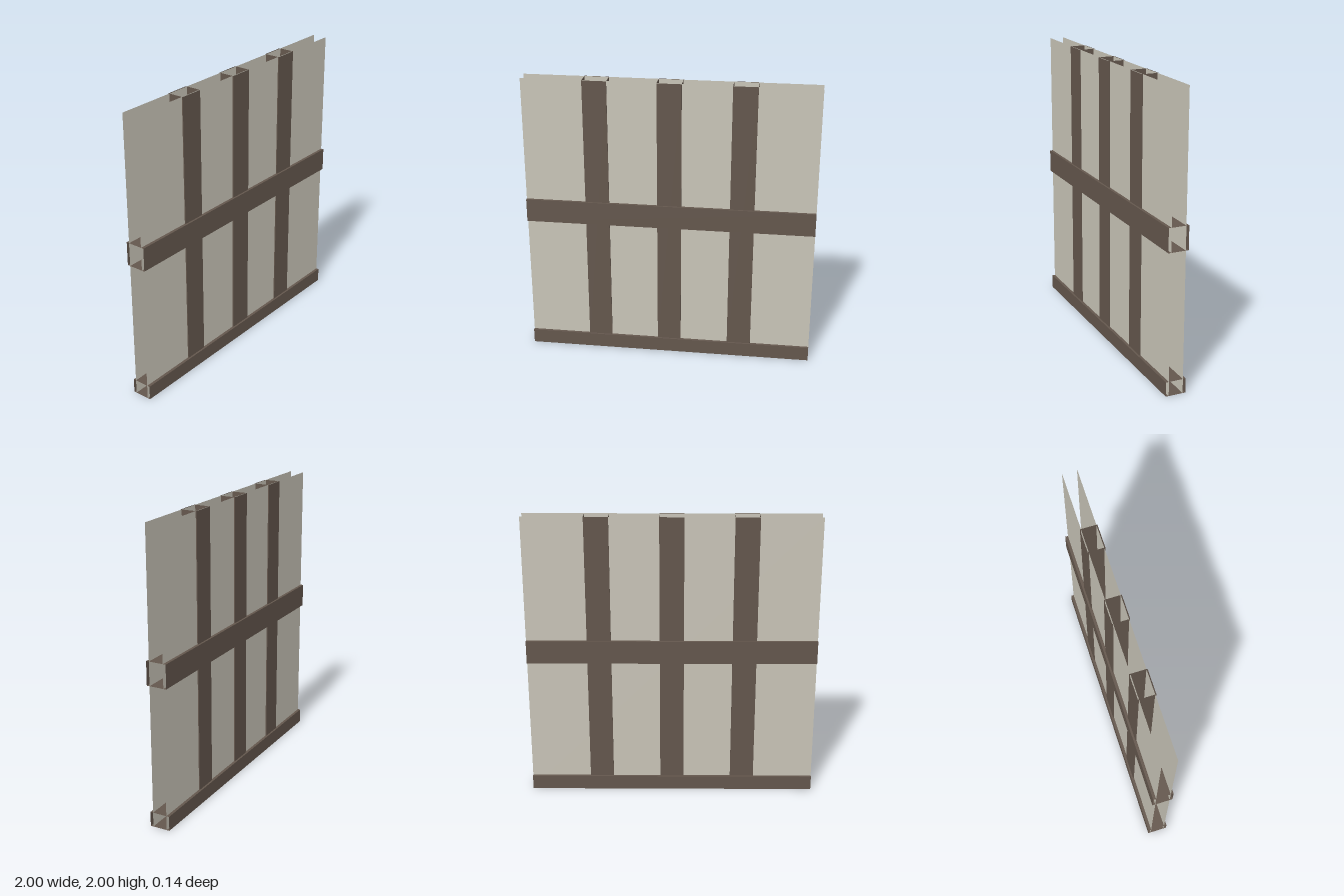
import * as THREE from 'three';

export function createModel() {
  const timber = new THREE.MeshStandardMaterial({ color: 0x64574d, side: THREE.DoubleSide });
  timber.name = 'dark timber';
  const plaster = new THREE.MeshStandardMaterial({ color: 0xc9c5b8, side: THREE.DoubleSide });
  plaster.name = 'pale plaster';

  const wall = new THREE.Group();
  wall.name = 'timberFramedWall';

  function add(name, geometry, material, x, y, z) {
    const mesh = new THREE.Mesh(geometry, material);
    mesh.name = name;
    mesh.position.set(x, y, z);
    wall.add(mesh);
  }

  // Hollow box without its two end faces; openAxis 0 = x, 1 = y
  function openBox(w, h, d, openAxis) {
    const box = new THREE.BoxGeometry(w, h, d);
    const index = Array.from(box.index.array);
    index.splice(openAxis * 12, 12);
    box.setIndex(index);
    box.clearGroups();
    return box;
  }

  // Plaster sheets on both sides of the wall
  add('frontPanel', new THREE.PlaneGeometry(2, 2), plaster, 0, 1, 0.05);
  add('backPanel', new THREE.PlaneGeometry(2, 2).rotateY(Math.PI), plaster, 0, 1, -0.05);

  // Upright posts, open at top and bottom
  const postBottom = 0.08;
  const postHeight = 2 - postBottom;
  ['right', 'middle', 'left'].forEach((side, i) => {
    add(side + 'Post', openBox(0.166, postHeight, 0.114, 1), timber,
      (i - 1) * 0.5, postBottom + postHeight / 2, 0);
  });

  // Horizontal beams, open at both ends
  add('sillBeam', openBox(2, 0.1, 0.14, 0), timber, 0, 0.05, 0);
  add('middleBeam', openBox(2, 0.162, 0.14, 0), timber, 0, 1.054, 0);

  return wall;
}
